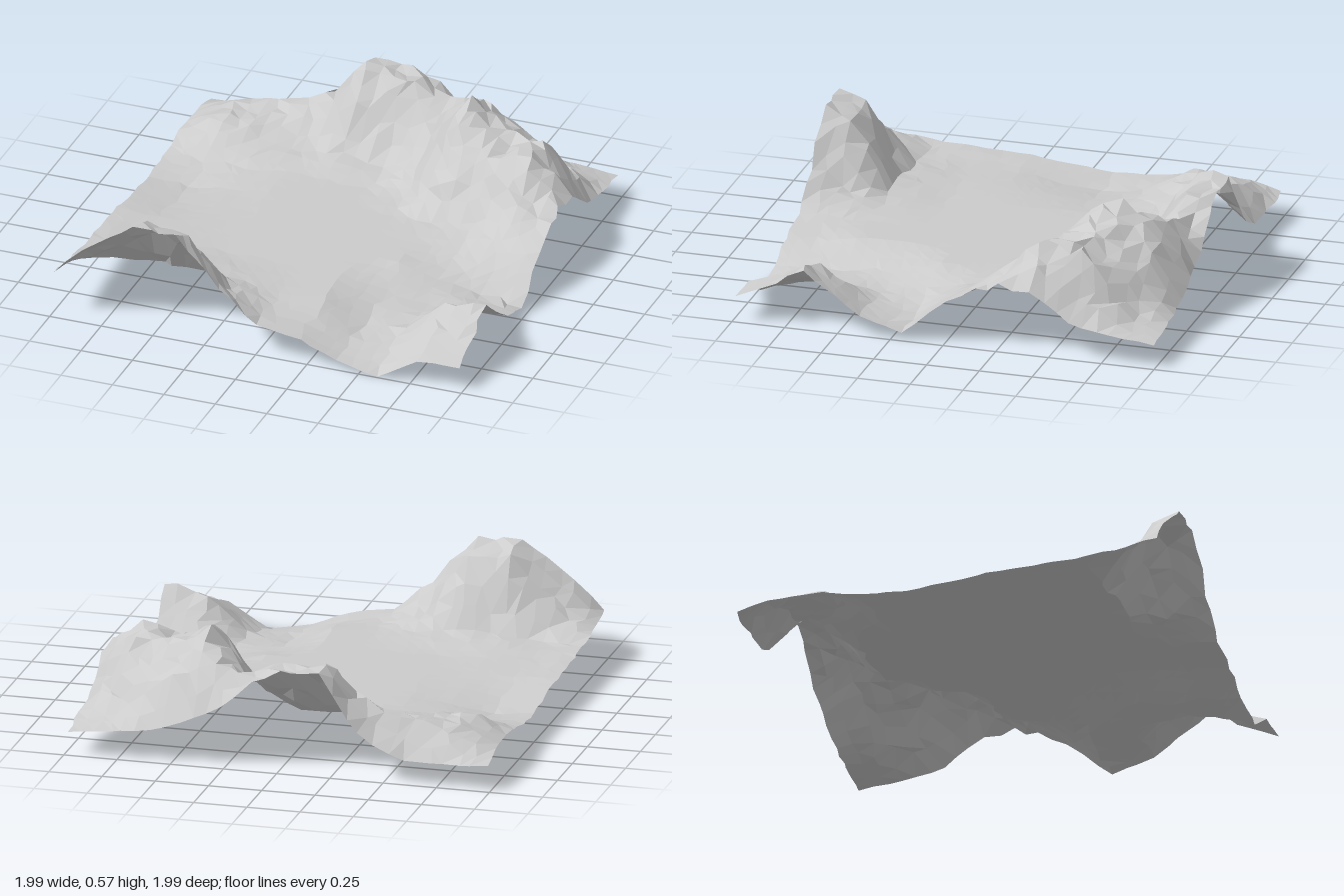
import * as THREE from 'three';

const WIDTH = 1.97, DEPTH = 1.98, SEGMENTS = 30, FLOOR = 0.15;

// Height cross-sections, back to front, each from -x to +x
const SECTION_Z = [-1, -.85, -.62, -.4, -.2, 0, .2, .42, .68, .85, 1];
const SECTIONS = [
  [.12, .11, .11, .20, .50, .48, .36, .22, .15, .13, .11],
  [.16, .25, .27, .33, .51, .48, .42, .47, .35, .18, .13],
  [.17, .26, .21, .17, .19, .17, .29, .61, .46, .44, .16],
  [.13, .13, .14, .15, .15, .15, .17, .36, .42, .49, .32],
  [.12, .10, .13, .15, .15, .15, .15, .16, .19, .30, .30],
  [.14, .12, .14, .15, .15, .15, .15, .15, .15, .18, .21],
  [.16, .15, .15, .15, .15, .15, .15, .15, .10, .05, .03],
  [.17, .16, .16, .15, .15, .15, .15, .10, .07, .09, .10],
  [.18, .17, .19, .19, .17, .15, .15, .06, .08, .26, .29],
  [.20, .30, .49, .50, .22, .15, .12, .06, .05, .17, .18],
  [.24, .42, .52, .54, .32, .15, .12, .04, .00, .12, .12],
];

// Small seeded generator, -1 to 1
function seeded(seed) {
  return () => {
    seed = (seed * 1664525 + 1013904223) % 4294967296;
    return seed / 2147483648 - 1;
  };
}

// Blend the two nearest sections; x and z in -1..1
function heightAt(x, z) {
  const last = SECTIONS[0].length - 1;
  const along = (x + 1) / 2 * last;
  const i = Math.min(last - 1, Math.floor(along));
  const j = Math.max(1, SECTION_Z.findIndex((s) => s >= z));
  const pick = (row) => THREE.MathUtils.lerp(row[i], row[i + 1], along - i);
  const t = (z - SECTION_Z[j - 1]) / (SECTION_Z[j] - SECTION_Z[j - 1]);
  return THREE.MathUtils.lerp(pick(SECTIONS[j - 1]), pick(SECTIONS[j]), t);
}

export function createModel() {
  const group = new THREE.Group();
  group.name = 'valleyTerrain';

  // Open ground sheet: even basin floor, rugged rim of hills
  const geometry = new THREE.PlaneGeometry(2, 2, SEGMENTS, SEGMENTS);
  geometry.rotateX(-Math.PI / 2);
  const p = geometry.attributes.position;
  const rand = seeded(7);
  for (let k = 0; k < p.count; k++) {
    let x = THREE.MathUtils.clamp(p.getX(k), -1, 1);
    let z = THREE.MathUtils.clamp(p.getZ(k), -1, 1);
    const onSide = Math.abs(x) > 0.999, onEnd = Math.abs(z) > 0.999;
    const jx = rand() * 0.6 / SEGMENTS, jz = rand() * 0.6 / SEGMENTS, jy = rand();
    if (!onSide) x += jx;
    if (!onEnd) z += jz;
    const h = heightAt(x, z);
    const y = h + jy * Math.min(0.02, Math.max(0, h - FLOOR) * 0.12);
    // The cut border is slightly ragged
    const ragX = onSide ? jx * 0.4 : 0, ragZ = onEnd ? jz * 0.4 : 0;
    p.setXYZ(k, x * WIDTH / 2 + ragX, y, z * DEPTH / 2 + ragZ);
  }

  // Choose the flatter diagonal so the facets look irregular
  const index = [];
  const side = SEGMENTS + 1;
  for (let j = 0; j < SEGMENTS; j++) {
    for (let i = 0; i < SEGMENTS; i++) {
      const a = j * side + i, b = a + 1, c = a + side, d = c + 1;
      if (Math.abs(p.getY(a) - p.getY(d)) < Math.abs(p.getY(b) - p.getY(c))) {
        index.push(a, c, d, a, d, b);
      } else {
        index.push(a, c, b, b, c, d);
      }
    }
  }
  geometry.setIndex(index);
  geometry.computeVertexNormals();

  const ground = new THREE.Mesh(geometry, new THREE.MeshStandardMaterial({
    color: 0xcccccc, flatShading: true, side: THREE.DoubleSide,
  }));
  ground.name = 'terrainSurface';
  group.add(ground);
  return group;
}
